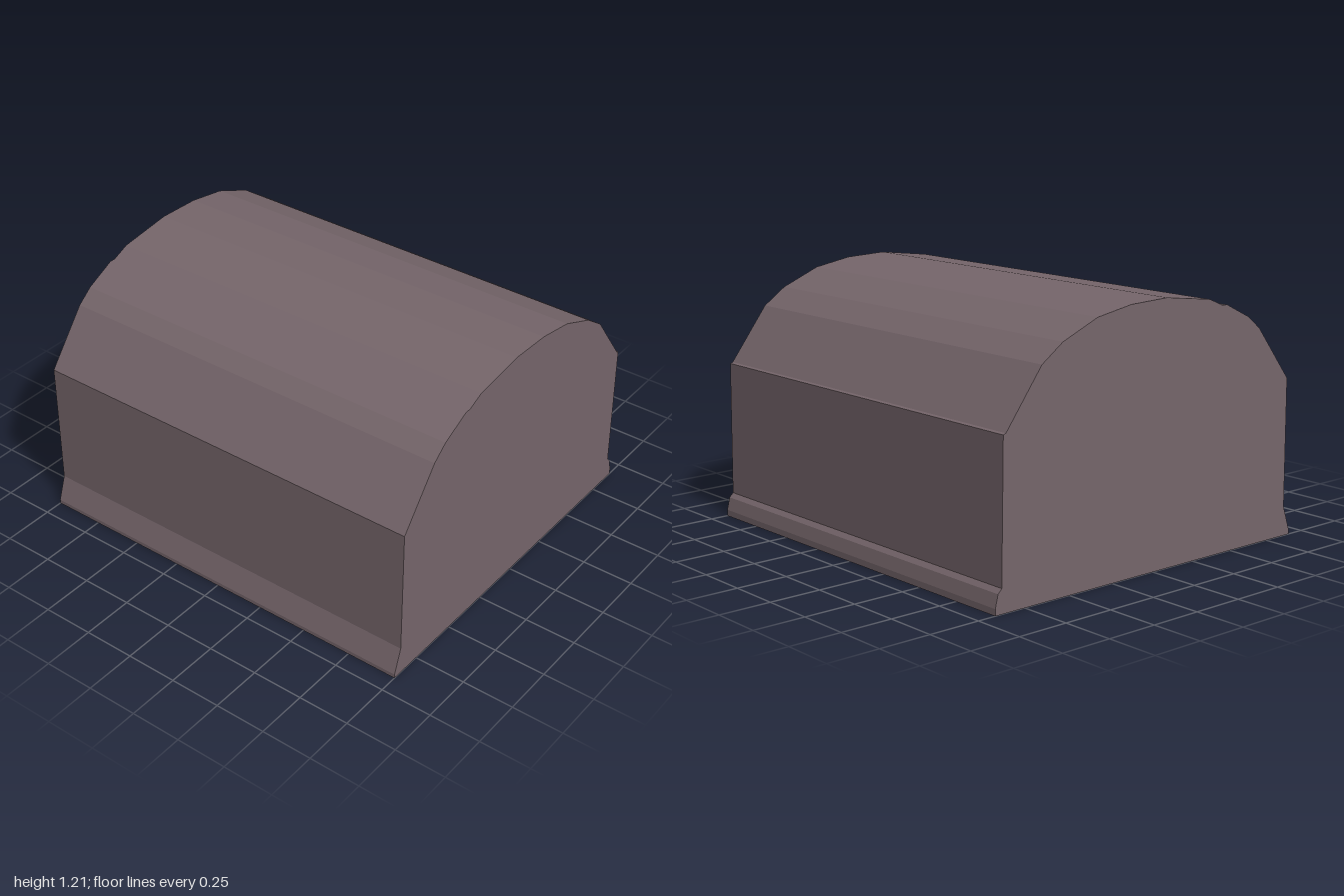
import * as THREE from 'three';

export function createModel() {
  const group = new THREE.Group();
  group.name = 'vaultedBlock';

  const stone = new THREE.MeshStandardMaterial({ color: 0x75656a, flatShading: true });
  stone.name = 'mauve stone';

  // Cross-section, counter-clockwise from the lower left corner
  const profile = [
    // base and rounded plinth on the +x side
    [-0.91, 0], [0.91, 0], [0.91, 0.03], [0.895, 0.09], [0.875, 0.11],
    // +x wall and small ledge
    [0.867, 0.75], [0.853, 0.755],
    // worn arched top
    [0.66, 1.01], [0.545, 1.09], [0.35, 1.17], [0.155, 1.203], [-0.06, 1.21],
    [-0.33, 1.175], [-0.41, 1.14], [-0.44, 1.14], [-0.585, 1.07], [-0.66, 1.01],
    // -x wall and sloping plinth
    [-0.862, 0.755], [-0.868, 0.14], [-0.91, 0.02],
  ];
  const shape = new THREE.Shape(profile.map(([x, y]) => new THREE.Vector2(x, y)));

  // Straight block along z
  const geometry = new THREE.ExtrudeGeometry(shape, { depth: 2, bevelEnabled: false });
  geometry.translate(0, 0, -1);
  const block = new THREE.Mesh(geometry, stone);
  block.name = 'archedBlock';
  group.add(block);
  return group;
}
